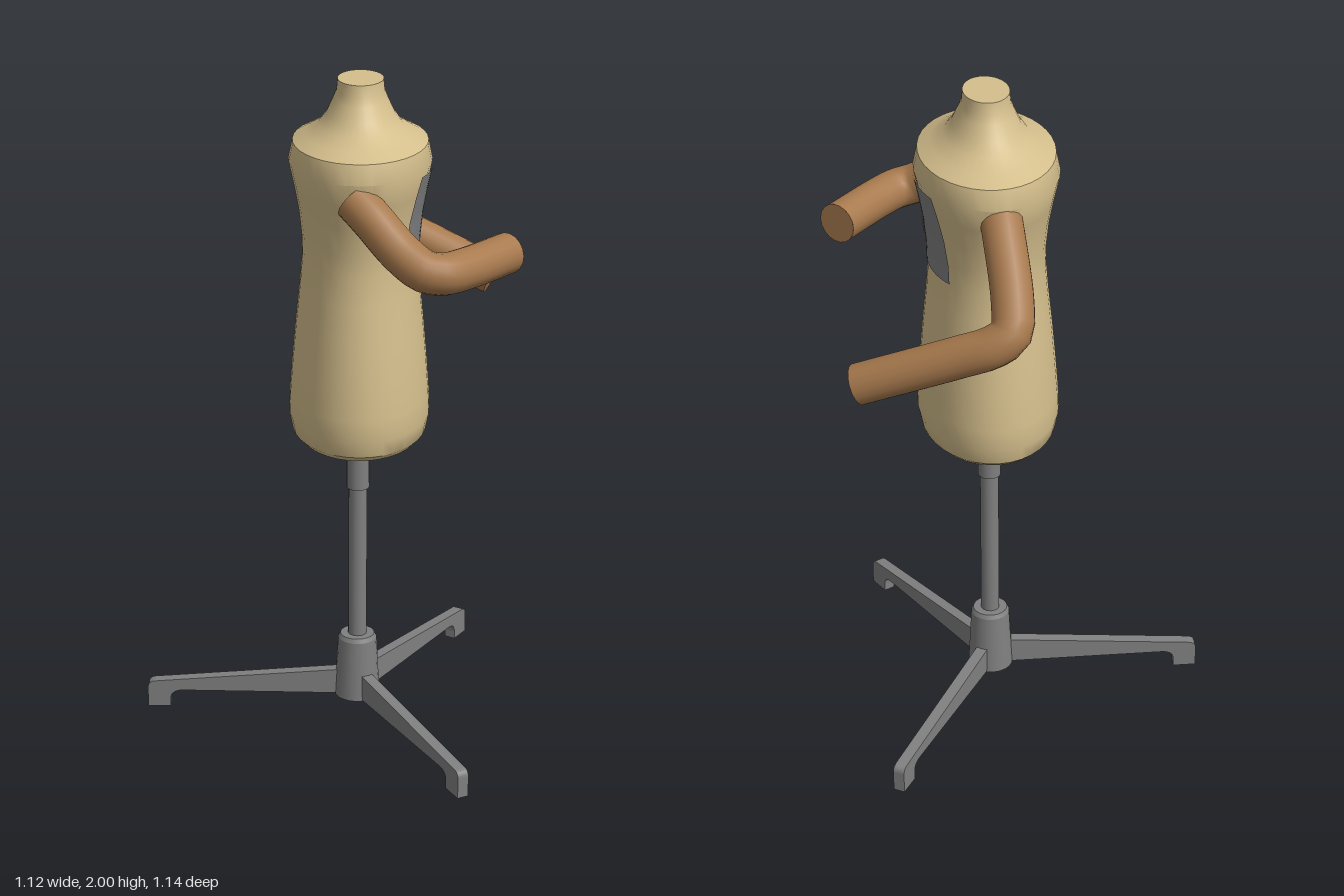
import * as THREE from 'three';
import { toCreasedNormals } from 'three/addons/utils/BufferGeometryUtils.js';

const CX = 0.095, CZ = -0.008, DEPTH = 0.715; // torso axis and depth/width ratio

// Torso half-width (z) at each height
const PROFILE = [
  [0, 0.925], [0.252, 0.925], [0.277, 0.945], [0.291, 0.995], [0.288, 1.06], [0.276, 1.17], [0.262, 1.28],
  [0.246, 1.39], [0.236, 1.48], [0.238, 1.54], [0.25, 1.62], [0.268, 1.69], [0.291, 1.765],
  [0.274, 1.822], [0.225, 1.842], [0.17, 1.868], [0.138, 1.9], [0.112, 1.94], [0.098, 1.965], [0.093, 2], [0, 2],
];

function radiusAt(y) {
  for (let i = 2; i < PROFILE.length - 1; i++) {
    const [r0, y0] = PROFILE[i - 1], [r1, y1] = PROFILE[i];
    if (y <= y1) return r0 + (r1 - r0) * (y - y0) / (y1 - y0);
  }
  return PROFILE[PROFILE.length - 2][0];
}

// Lays a flat (width, height) geometry over the chest, which faces +x
function wrapOnChest(geometry, z, y, lift) {
  const p = geometry.attributes.position;
  for (let i = 0; i < p.count; i++) {
    const dz = z - p.getX(i) - CZ, py = y + p.getY(i), r = radiusAt(py);
    p.setXYZ(i, CX + DEPTH * Math.sqrt(r * r - dz * dz) + lift, py, dz + CZ);
  }
  geometry.computeVertexNormals();
  return geometry;
}

export function createModel() {
  const model = new THREE.Group();
  model.name = 'dressForm';
  const paint = (name, color) => {
    const m = new THREE.MeshStandardMaterial({ color });
    m.name = name;
    return m;
  };
  const fabric = paint('beigeFabric', 0xd4be8c);
  const wood = paint('brownArm', 0xa87a4e);
  const metal = paint('greyMetal', 0x808080);

  const add = (name, geometry, material, parent = model) => {
    const mesh = new THREE.Mesh(geometry, material);
    mesh.name = name;
    parent.add(mesh);
    return mesh;
  };

  // Torso: an oval lathe with crisp hem, shoulder and neck edges
  const torso = new THREE.LatheGeometry(PROFILE.map(([r, y]) => new THREE.Vector2(r, y)), 36);
  torso.scale(DEPTH, 1, 1);
  add('torso', toCreasedNormals(torso, 0.6), fabric).position.set(CX, 0, CZ);

  // Chest panel with a round button
  add('chestPanel', wrapOnChest(new THREE.PlaneGeometry(0.326, 0.272, 16, 14), -0.01, 1.617, 0.005), metal);
  add('chestButton', wrapOnChest(new THREE.CircleGeometry(0.027, 12), -0.017, 1.598, 0.009), fabric);

  // Arms: bent tubes with flat ends
  function addArm(name, points, radius) {
    const arm = new THREE.Group();
    arm.name = name;
    model.add(arm);
    const curve = new THREE.CatmullRomCurve3(points.map((p) => new THREE.Vector3(...p)), false, 'centripetal');
    add(name + 'Tube', new THREE.TubeGeometry(curve, 28, radius, 18), wood, arm);
    for (const [t, side] of [[0, -1], [1, 1]]) {
      const cap = add(name + 'End', new THREE.CircleGeometry(radius, 18), wood, arm);
      const end = curve.getPointAt(t);
      cap.position.copy(end);
      cap.lookAt(end.clone().addScaledVector(curve.getTangentAt(t), side));
    }
  }
  addArm('rightArm', [
    [0.08, 1.71, 0.235], [0.13, 1.665, 0.275], [0.21, 1.585, 0.325], [0.275, 1.543, 0.358],
    [0.325, 1.533, 0.352], [0.39, 1.53, 0.295], [0.515, 1.53, 0.15],
  ], 0.06);
  addArm('leftArm', [
    [0.085, 1.74, -0.23], [0.08, 1.69, -0.29], [0.072, 1.55, -0.43], [0.083, 1.485, -0.482],
    [0.13, 1.45, -0.488], [0.22, 1.41, -0.463], [0.5, 1.29, -0.372],
  ], 0.06);

  // Stand: pole, sleeve and hub
  const stand = new THREE.Group();
  stand.name = 'stand';
  stand.position.set(0.092, 0, -0.006);
  model.add(stand);
  const addRound = (name, top, bottom, y0, y1) => {
    add(name, new THREE.CylinderGeometry(top, bottom, y1 - y0, 20), metal, stand).position.y = (y0 + y1) / 2;
  };
  addRound('pole', 0.028, 0.028, 0.2, 0.93);
  addRound('poleSleeve', 0.034, 0.034, 0.74, 0.93);
  addRound('hubRim', 0.052, 0.059, 0.243, 0.256);
  addRound('hub', 0.059, 0.069, 0.052, 0.243);

  // Three tapering legs, each with a hooked foot
  const side = new THREE.Shape();
  side.moveTo(0.02, 0.055);
  side.lineTo(0.545, 0.055);
  side.quadraticCurveTo(0.577, 0.052, 0.577, 0.025);
  side.lineTo(0.577, 0);
  side.lineTo(0.647, 0);
  side.lineTo(0.647, 0.065);
  side.quadraticCurveTo(0.646, 0.083, 0.625, 0.085);
  side.lineTo(0.02, 0.138);
  const legGeometry = new THREE.ExtrudeGeometry(side, { depth: 0.035, bevelEnabled: false, curveSegments: 5 });
  legGeometry.translate(0, 0, -0.0175);
  for (let i = 0; i < 3; i++) {
    const leg = add('leg' + (i + 1), legGeometry, metal, stand);
    leg.rotation.y = -THREE.MathUtils.degToRad(61.3 + i * 120);
  }
  return model;
}
